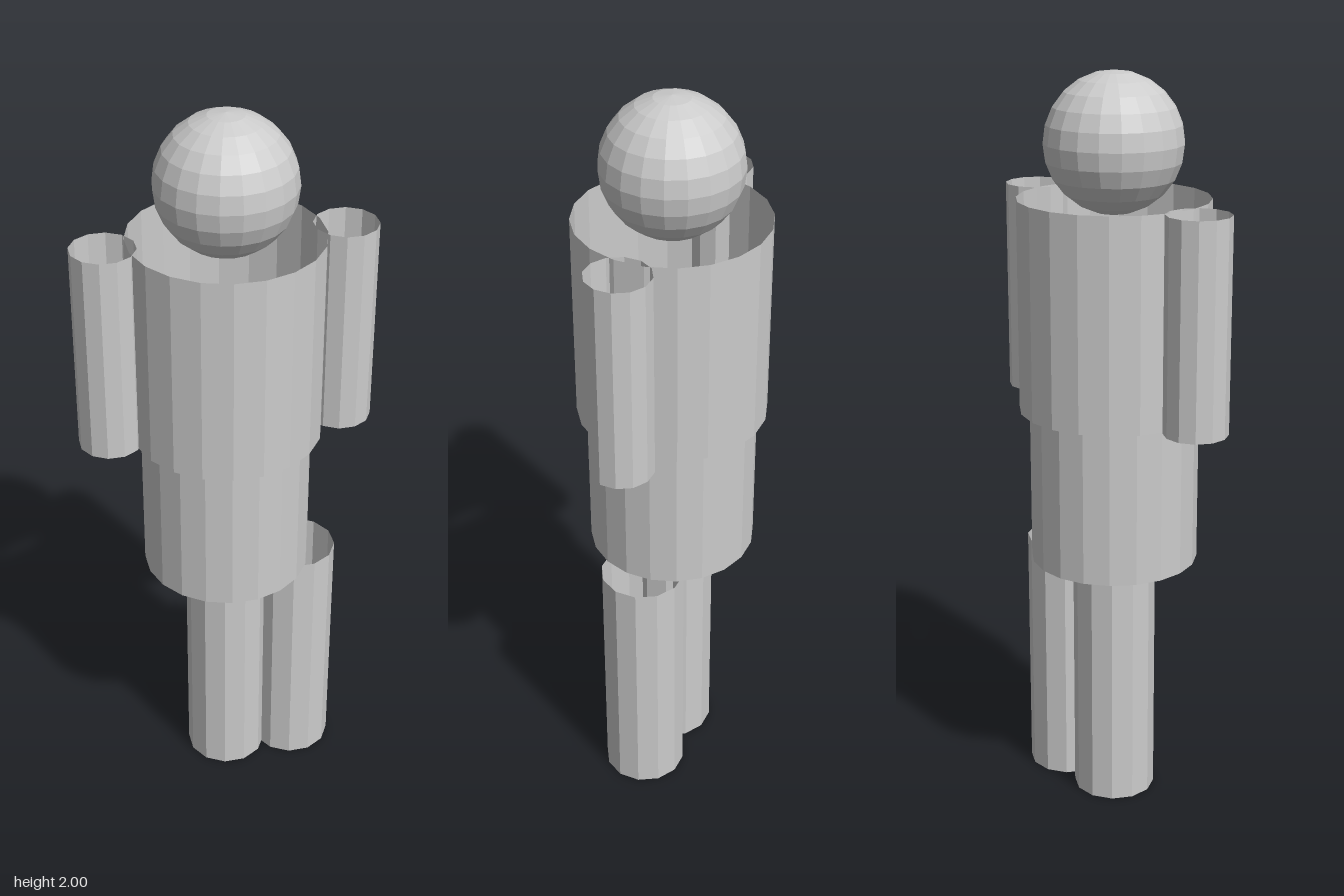
import * as THREE from 'three';

export function createModel() {
  const group = new THREE.Group();
  const material = new THREE.MeshStandardMaterial({
    color: 0xcccccc, flatShading: true, side: THREE.DoubleSide,
  });

  // Open-ended faceted tube standing between two heights
  function tube(name, radius, bottom, top, x, sides) {
    const geometry = new THREE.CylinderGeometry(radius, radius, top - bottom, sides, 1, true);
    geometry.rotateY(Math.PI / sides);
    const mesh = new THREE.Mesh(geometry, material);
    mesh.name = name;
    mesh.position.set(x, (bottom + top) / 2, 0);
    group.add(mesh);
  }

  // Body
  tube('chest', 0.252, 1.12, 1.68, 0, 20);
  tube('hips', 0.225, 0.70, 1.12, 0, 20);

  // Arms, pressed slightly into the chest
  for (const side of [-1, 1]) {
    tube(side > 0 ? 'leftArm' : 'rightArm', 0.084, 1.12, 1.68, side * 0.308, 12);
  }

  // Legs: one under the middle, one out to the left
  tube('rightLeg', 0.112, 0, 0.70, 0, 12);
  tube('leftLeg', 0.112, 0, 0.70, 0.196, 12);

  // Head
  const head = new THREE.Mesh(new THREE.SphereGeometry(0.181, 20, 12), material);
  head.name = 'head';
  head.position.y = 1.819;
  group.add(head);

  return group;
}
